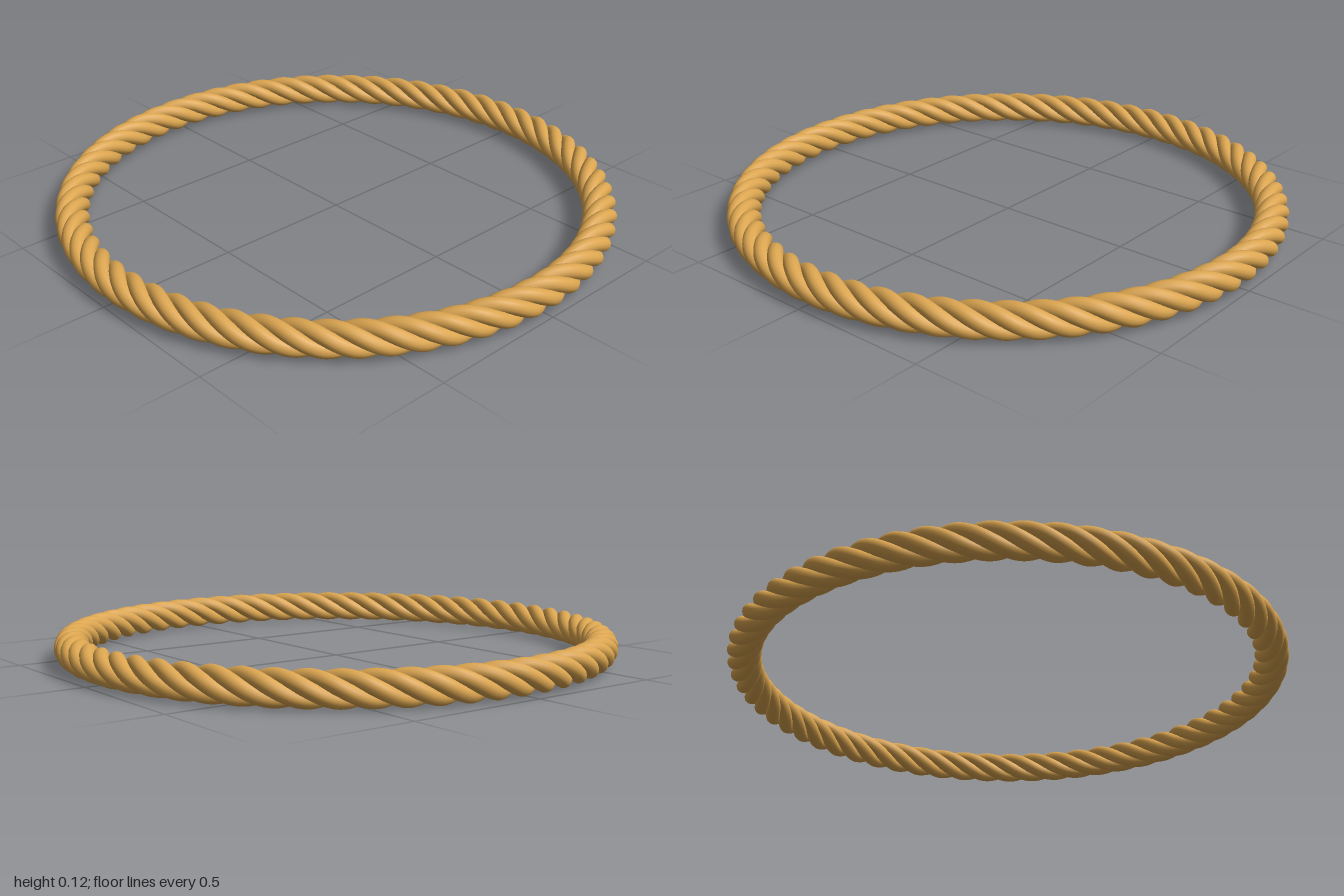
import * as THREE from 'three';

const RING = 0.94;     // radius of the rope's centre line
const COIL = 0.034;    // distance of each strand from the centre line
const STRAND = 0.026;  // strand radius
const STRANDS = 4;
const TURNS = 15;      // twists around the whole ring

// Closed helix wound around a horizontal circle
class StrandCurve extends THREE.Curve {
  constructor(phase) {
    super();
    this.phase = phase;
  }
  getPoint(t, target = new THREE.Vector3()) {
    const a = t * Math.PI * 2;
    const twist = a * TURNS + this.phase;
    const r = RING + COIL * Math.cos(twist);
    return target.set(r * Math.cos(a), COIL + STRAND + COIL * Math.sin(twist), r * Math.sin(a));
  }
}

export function createModel() {
  const rope = new THREE.Group();
  rope.name = 'ropeRing';
  const material = new THREE.MeshStandardMaterial({ color: 0xdba550 });

  // Identical strands, evenly phased around the centre line
  for (let i = 0; i < STRANDS; i++) {
    const curve = new StrandCurve((i / STRANDS) * Math.PI * 2);
    const strand = new THREE.Mesh(new THREE.TubeGeometry(curve, TURNS * 32, STRAND, 14, true), material);
    strand.name = 'strand' + (i + 1);
    rope.add(strand);
  }
  return rope;
}
